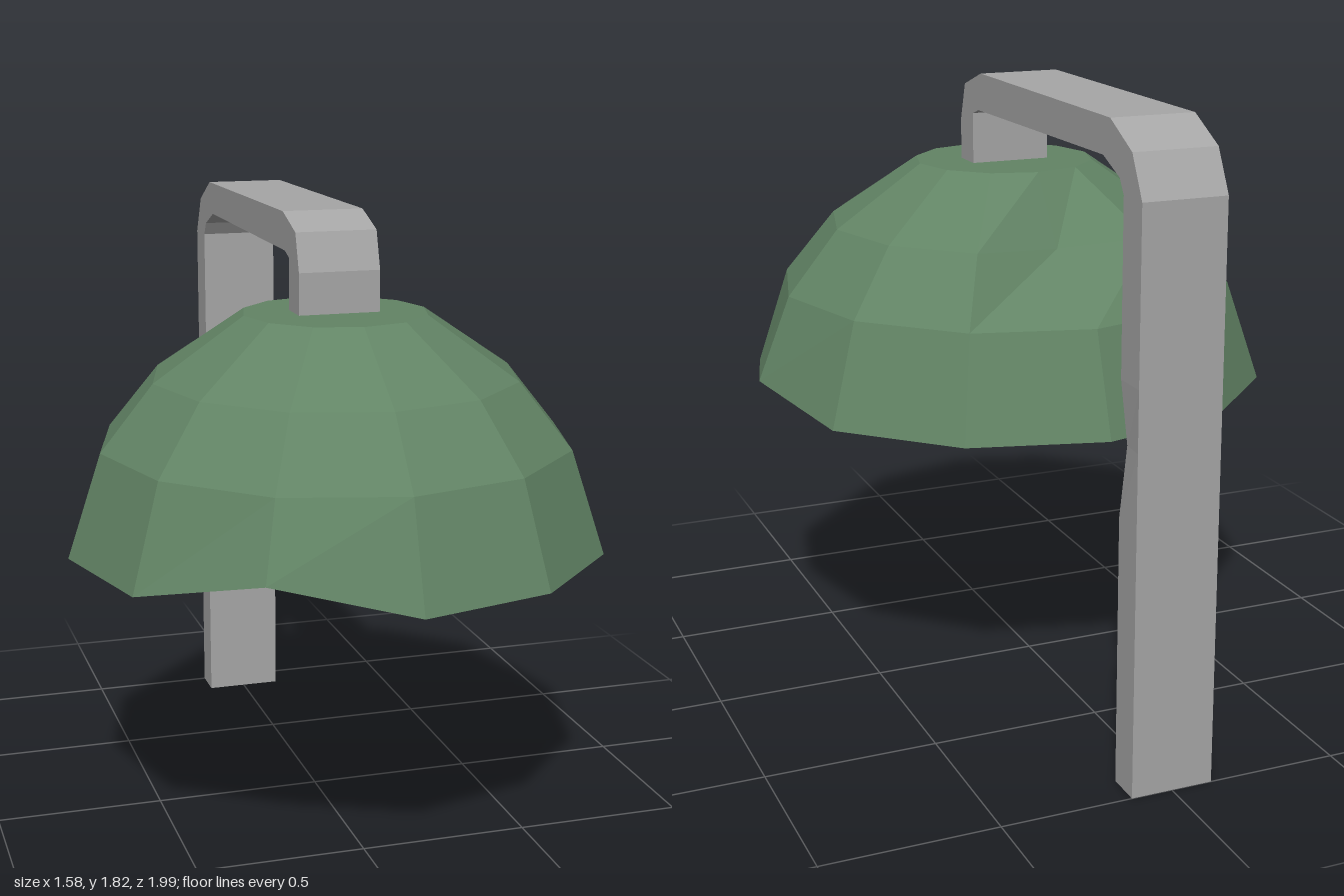
import * as THREE from 'three';
import { ConvexGeometry } from 'three/addons/geometries/ConvexGeometry.js';

// Faceted closed solid through a list of rings with equal point counts
function loft(rings) {
  const pos = [];
  const tri = (...pts) => pts.forEach((p) => pos.push(...p));
  const n = rings[0].length;
  for (let i = 0; i < rings.length - 1; i++) {
    for (let k = 0; k < n; k++) {
      const j = (k + 1) % n;
      const a = rings[i][k], b = rings[i][j], c = rings[i + 1][k], d = rings[i + 1][j];
      tri(a, c, b);
      tri(b, c, d);
    }
  }
  const first = rings[0], last = rings[rings.length - 1];
  for (let k = 1; k < n - 1; k++) {
    tri(first[0], first[k], first[k + 1]);
    tri(last[0], last[k + 1], last[k]);
  }
  const geo = new THREE.BufferGeometry();
  geo.setAttribute('position', new THREE.Float32BufferAttribute(pos, 3));
  geo.computeVertexNormals();
  return geo;
}

export function createModel() {
  const green = new THREE.MeshStandardMaterial({ color: 0x628465 });
  green.name = 'shadeGreen';
  const grey = new THREE.MeshStandardMaterial({ color: 0xa6a6a6 });
  grey.name = 'metalGrey';
  const pale = new THREE.MeshStandardMaterial({ color: 0xe0e0e0 });
  pale.name = 'bulbPale';

  const group = new THREE.Group();
  group.name = 'lamp';
  const add = (name, geo, mat) => {
    const mesh = new THREE.Mesh(geo, mat);
    mesh.name = name;
    group.add(mesh);
    return mesh;
  };

  // Bent flat post and arm: outer z, outer y, inner z, inner y
  const w = 0.12;
  const bar = [
    [-1, 0, -0.895, 0], [-1, 0.77, -0.895, 0.77], [-1, 0.98, -0.895, 0.98],
    [-1, 1.15, -0.895, 1.15], [-1, 1.63, -0.895, 1.63], [-0.94, 1.745, -0.87, 1.67],
    [-0.81, 1.812, -0.77, 1.712], [0.08, 1.815, 0.1, 1.705], [0.21, 1.77, 0.145, 1.69],
    [0.245, 1.66, 0.145, 1.64], [0.245, 1.5, 0.145, 1.5],
  ].map(([zo, yo, zi, yi]) => [[-w, yo, zo], [w, yo, zo], [w, yi, zi], [-w, yi, zi]]);
  bar[2][2] = [w - 0.005, 0.98, -0.927]; // chipped front edge
  add('postAndArm', loft(bar), grey);

  // Twelve-sided shade: inner wall down, rim, outer wall up
  const shade = [
    [0.2, 1.44], [0.45, 1.29], [0.6, 1.13], [0.69, 0.87],
    [0.79, 0.87], [0.69, 1.17], [0.535, 1.36], [0.27, 1.54],
  ].map(([r, y]) => Array.from({ length: 12 }, (_, k) => {
    const a = (k * Math.PI) / 6;
    return [r * Math.cos(a), y, 0.2 + r * Math.sin(a)];
  }));
  // Bent rim corners and a dent at the back
  for (const i of [3, 4]) {
    shade[i][0][1] = 0.92;
    shade[i][4][1] = 0.96;
  }
  shade[6][9] = [0, 1.34, -0.21];
  add('shade', loft(shade), green);

  // Twenty-faced bulb standing on a corner
  const r = 0.22;
  const pts = [new THREE.Vector3(0, r, 0), new THREE.Vector3(0, -r, 0)];
  for (let k = 0; k < 5; k++) {
    const a = (k * 2 * Math.PI) / 5;
    for (const s of [1, -1]) {
      pts.push(new THREE.Vector3(s * 0.8944 * r * Math.cos(a), s * 0.4472 * r, s * 0.8944 * r * Math.sin(a)));
    }
  }
  add('bulb', new ConvexGeometry(pts), pale).position.set(0, 1.01, 0.195);

  return group;
}
